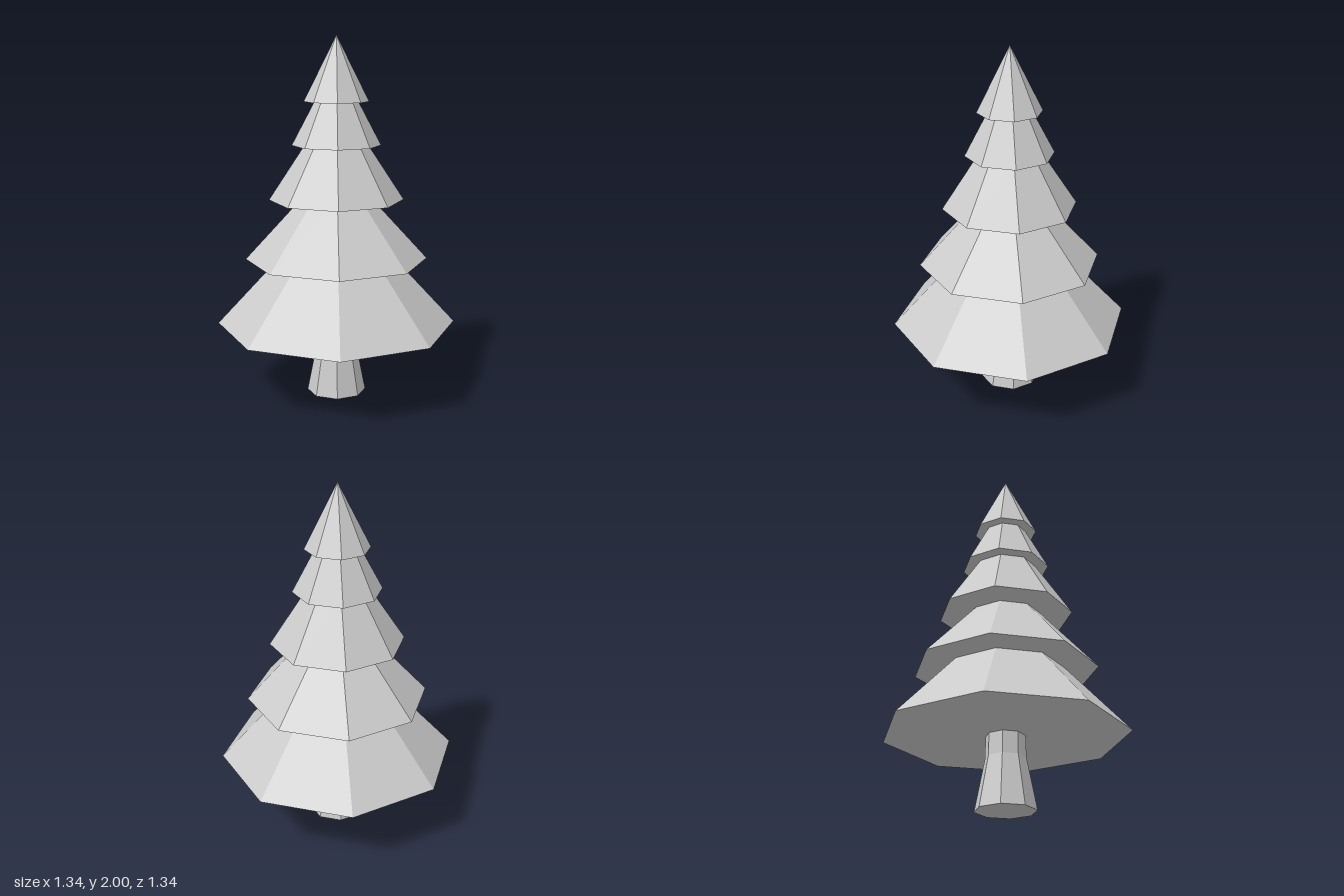
import * as THREE from 'three';

const SIDES = 8;

export function createModel() {
  const tree = new THREE.Group();
  tree.name = 'pineTree';
  const material = new THREE.MeshStandardMaterial({ color: 0xcccccc, flatShading: true });

  // Eight-sided solid between two heights, with optional caps
  function addPart(parent, name, y0, r0, y1, r1, open = false) {
    const geometry = new THREE.CylinderGeometry(r1, r0, y1 - y0, SIDES, 1, open);
    geometry.translate(0, (y0 + y1) / 2, 0);
    const mesh = new THREE.Mesh(geometry, material);
    mesh.name = name;
    parent.add(mesh);
  }

  // Trunk: flared foot below a nearly straight stem, closed at the ground
  const trunk = new THREE.Group();
  trunk.name = 'trunk';
  const profile = [[0, 0], [0.165, 0], [0.11, 0.28], [0.107, 0.42]];
  const trunkGeometry = new THREE.LatheGeometry(profile.map(([r, y]) => new THREE.Vector2(r, y)), SIDES);
  const trunkMesh = new THREE.Mesh(trunkGeometry, material);
  trunkMesh.name = 'trunkBody';
  trunk.add(trunkMesh);
  tree.add(trunk);

  // Foliage tiers: base height, base radius, top height, top radius.
  // Each top tucks slightly into the tier above.
  const tiers = [
    [0.40, 0.668, 0.79, 0.307],
    [0.77, 0.507, 1.125, 0.182],
    [1.105, 0.373, 1.43, 0.16],
    [1.407, 0.245, 1.665, 0.109],
    [1.645, 0.178, 2.0, 0],
  ];
  const foliage = new THREE.Group();
  foliage.name = 'foliage';
  tiers.forEach(([y0, r0, y1, r1], i) => addPart(foliage, `foliageTier${i + 1}`, y0, r0, y1, r1));
  tree.add(foliage);

  return tree;
}
